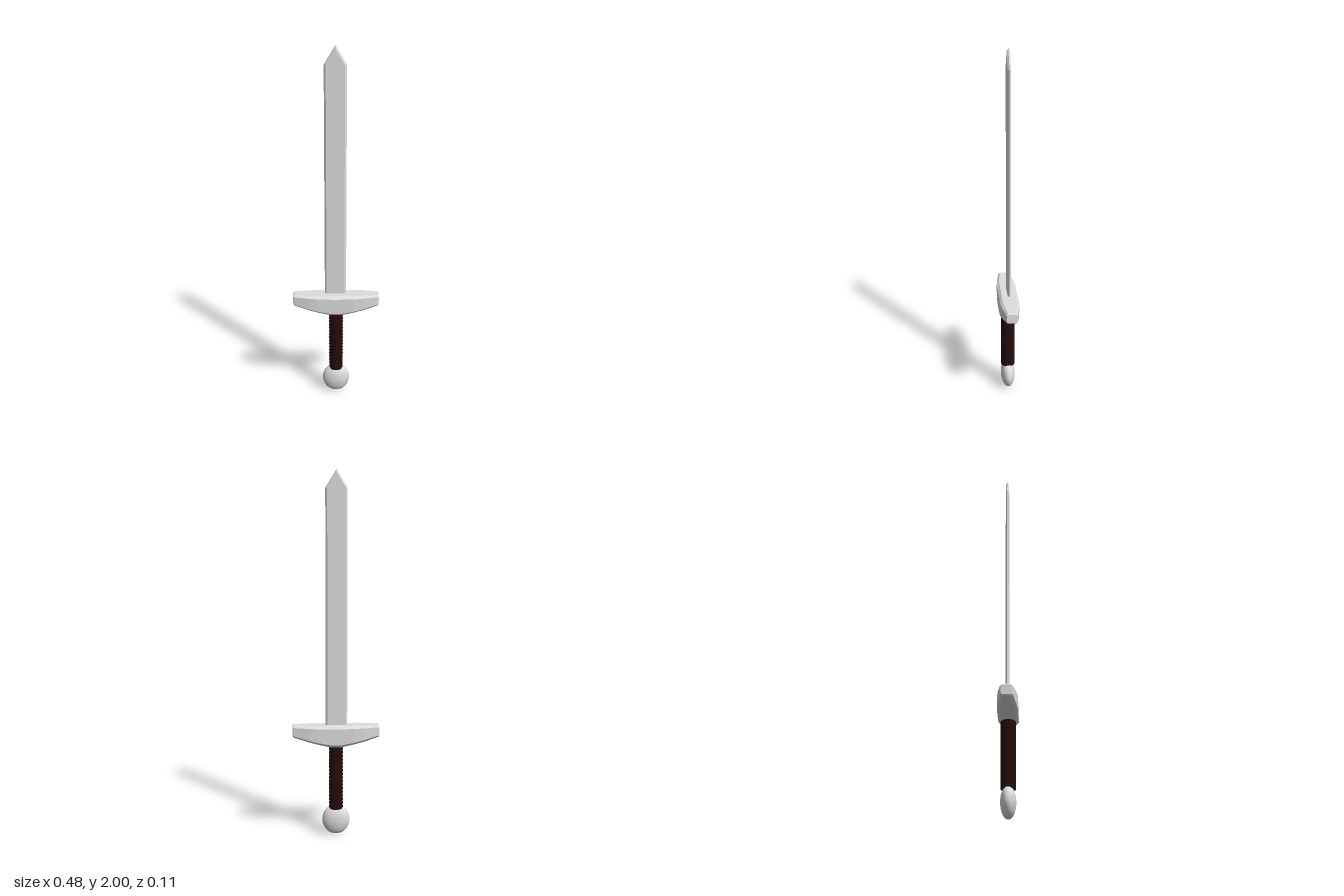
import * as THREE from 'three';

const steel = new THREE.MeshStandardMaterial({ color: 0xdedede });
steel.name = 'steel';
steel.flatShading = true;
const polished = new THREE.MeshStandardMaterial({ color: 0xdedede });
polished.name = 'polished steel';
const leather = new THREE.MeshStandardMaterial({ color: 0x260b0c });
leather.name = 'dark leather';

function part(name, geometry, material) {
  const mesh = new THREE.Mesh(geometry, material);
  mesh.name = name;
  return mesh;
}

// Thin blade with bevelled edges running up to a point
function bladeGeometry() {
  const shape = new THREE.Shape([
    [-0.049, 0.6], [0.049, 0.6], [0.049, 1.897], [0, 1.981], [-0.049, 1.897],
  ].map(([x, y]) => new THREE.Vector2(x, y)));
  const geo = new THREE.ExtrudeGeometry(shape, {
    depth: 0.001, bevelSize: 0.01, bevelThickness: 0.008, bevelSegments: 1,
  });
  return geo.translate(-0.003, 0, -0.004);
}

// Crossguard: chamfered octagonal sections lofted along x
function guardGeometry() {
  // x, half depth, underside y, chamfer depth, chamfer height, top y
  const half = [
    [0.238, 0.028, 0.568, 0.006, 0.006, 0.618],
    [0.232, 0.032, 0.559, 0.010, 0.010, 0.625],
    [0.15, 0.048, 0.535, 0.013, 0.012, 0.625],
    [0.1, 0.053, 0.522, 0.015, 0.013, 0.625],
    [0.03, 0.053, 0.506, 0.015, 0.015, 0.625],
  ];
  const stations = [
    ...half.map(([x, ...rest]) => [-x, ...rest]),
    ...half.slice().reverse(),
  ];
  const rings = stations.map(([x, d, bottom, c, h, top]) => [
    [d - c, top], [d, top - h], [d, bottom + h], [d - c, bottom],
    [c - d, bottom], [-d, bottom + h], [-d, top - h], [c - d, top],
  ].map(([z, y]) => [x, y, z]));
  const n = 8;
  const positions = rings.flat(2);
  const index = [];
  for (let s = 0; s < rings.length - 1; s++) {
    for (let i = 0; i < n; i++) {
      const a = s * n + i, b = s * n + (i + 1) % n;
      index.push(a, b, b + n, a, b + n, a + n);
    }
  }
  const last = (rings.length - 1) * n;
  for (let i = 1; i < n - 1; i++) {
    index.push(0, i + 1, i, last, last + i, last + i + 1);
  }
  const geo = new THREE.BufferGeometry();
  geo.setAttribute('position', new THREE.Float32BufferAttribute(positions, 3));
  geo.setIndex(index);
  geo.computeVertexNormals();
  return geo;
}

// Grip: shallow finger grooves on the two narrow sides
function gripGeometry() {
  const radius = 0.039, bottom = 0.15, height = 0.37, grooves = 9;
  const geo = new THREE.CylinderGeometry(radius, radius, height, 24, grooves * 6);
  geo.translate(0, bottom + height / 2, 0);
  const p = geo.attributes.position;
  for (let i = 0; i < p.count; i++) {
    const side = (p.getX(i) / radius) ** 2;
    const wave = Math.cos(((p.getY(i) - bottom) / height) * grooves * Math.PI * 2) ** 6;
    p.setX(i, p.getX(i) * (1 - 0.12 * side * wave));
  }
  geo.computeVertexNormals();
  return geo;
}

// Pommel: rounded bulb flattened front to back
function pommelGeometry() {
  const curve = new THREE.SplineCurve([
    [0.001, 0.005], [0.03, 0.008], [0.056, 0.028], [0.072, 0.06], [0.076, 0.088],
    [0.07, 0.12], [0.052, 0.147], [0.03, 0.16], [0.001, 0.163],
  ].map(([x, y]) => new THREE.Vector2(x, y)));
  const points = curve.getPoints(28);
  points[0].set(0, 0);
  points[points.length - 1].x = 0;
  return new THREE.LatheGeometry(points, 36).scale(1, 1, 0.53);
}

export function createModel() {
  const sword = new THREE.Group();
  sword.name = 'sword';
  sword.add(
    part('blade', bladeGeometry(), steel),
    part('crossguard', guardGeometry(), steel),
    part('grip', gripGeometry(), leather),
    part('pommel', pommelGeometry(), polished),
  );
  return sword;
}
